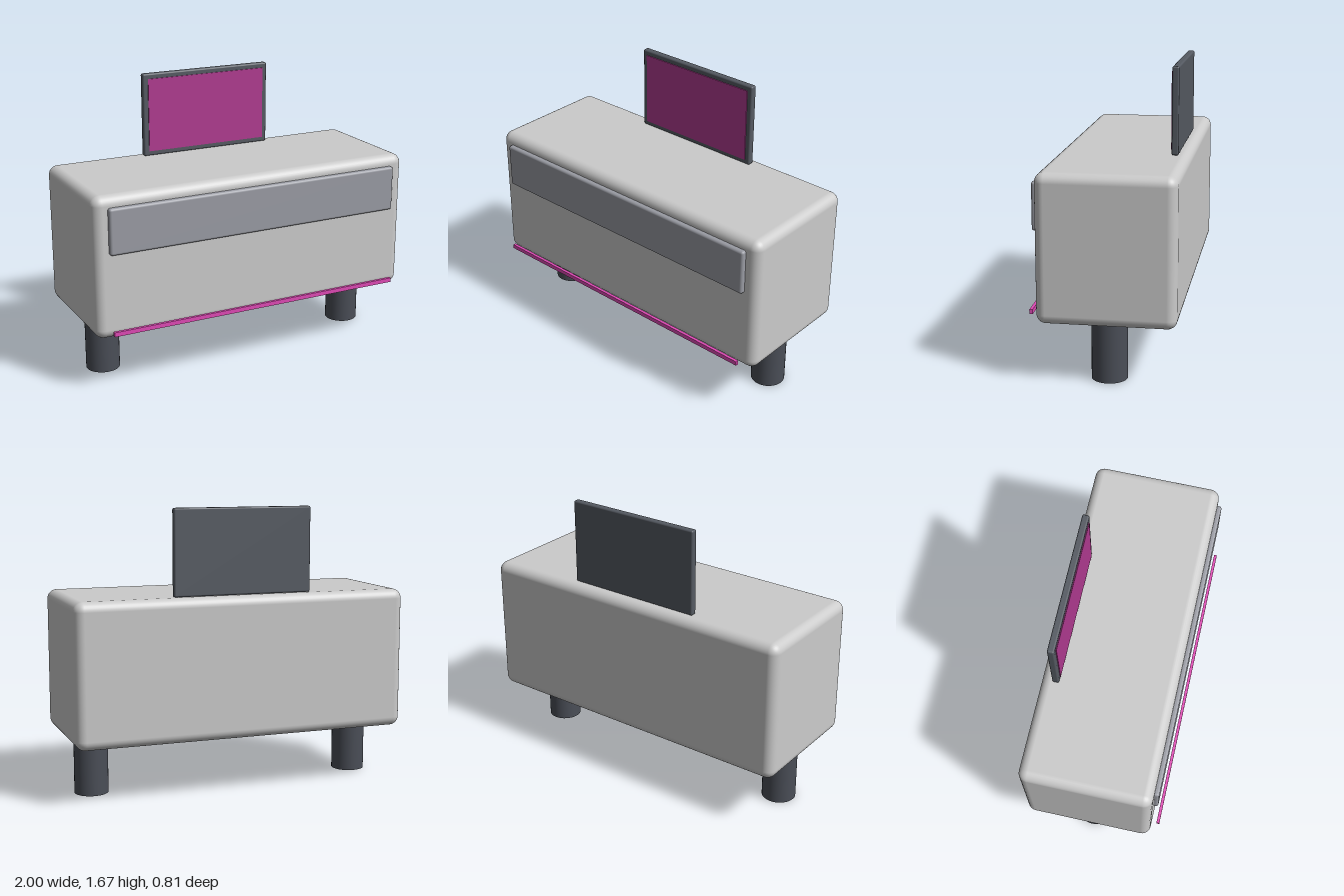
import * as THREE from 'three';
import { RoundedBoxGeometry } from 'three/addons/geometries/RoundedBoxGeometry.js';

const material = (color) => new THREE.MeshStandardMaterial({ color });

export function createModel() {
  const group = new THREE.Group();
  const shell = material(0xcccccc);
  const panelGrey = material(0x9a9ca4);
  const dark = material(0x555a62);
  const legDark = material(0x4a4e57);
  const screenPink = material(0xb03a90);
  const stripPink = material(0xe04ab6);

  function add(name, geometry, mat, x, y, z) {
    const mesh = new THREE.Mesh(geometry, mat);
    mesh.name = name;
    mesh.position.set(x, y, z);
    group.add(mesh);
  }

  // Main rounded cabinet
  add('cabinet', new RoundedBoxGeometry(2, 0.832, 0.765, 4, 0.055), shell, 0, 0.752, -0.022);

  // Raised front panel
  add('frontPanel', new RoundedBoxGeometry(1.834, 0.269, 0.056, 3, 0.015), panelGrey, 0, 0.97, 0.36);

  // Light strip floating just ahead of the lower front edge
  add('lightStrip', new THREE.BoxGeometry(1.834, 0.026, 0.018), stripPink, 0, 0.382, 0.399);

  // Upright monitor on the rear of the top
  add('monitorFrame', new RoundedBoxGeometry(0.83, 0.499, 0.04, 3, 0.01), dark, 0, 1.418, -0.321);
  add('monitorScreen', new THREE.BoxGeometry(0.768, 0.44, 0.012), screenPink, 0, 1.417, -0.302);

  // Two round legs
  for (const [name, side] of [['leftLeg', 1], ['rightLeg', -1]]) {
    add(name, new THREE.CylinderGeometry(0.1, 0.1, 0.36, 32), legDark, side * 0.833, 0.18, -0.02);
  }

  return group;
}
